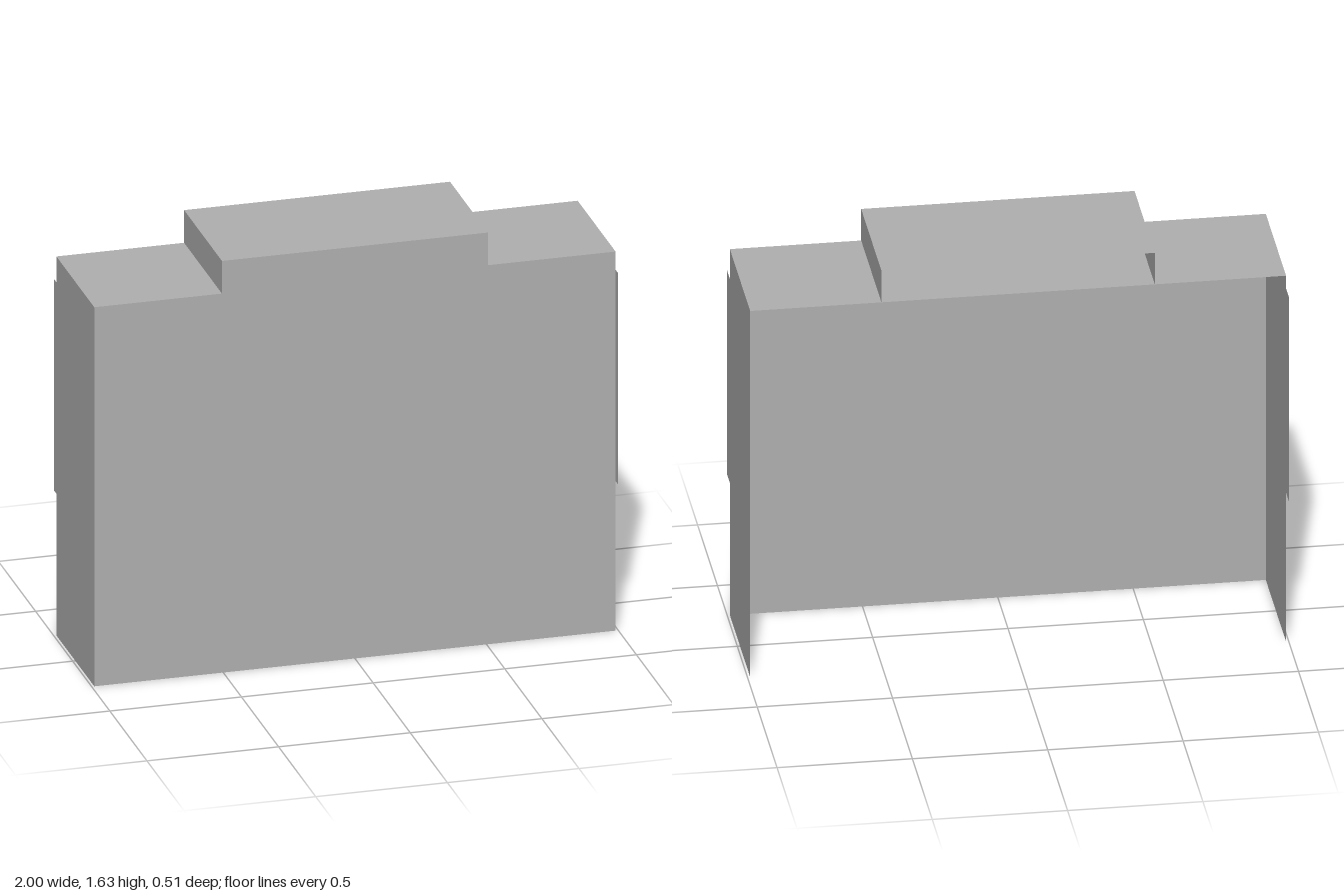
import * as THREE from 'three';

const HALF_W = 0.99, HALF_D = 0.255, ROOF_Y = 1.497;
const CAP_HALF_W = 0.505, CAP_Y = 1.626;

export function createModel() {
  const group = new THREE.Group();
  const grey = new THREE.MeshStandardMaterial({ color: 0xb0b0b0, side: THREE.DoubleSide });
  grey.name = 'plain grey';

  const add = (name, geometry) => {
    const mesh = new THREE.Mesh(geometry, grey);
    mesh.name = name;
    group.add(mesh);
    return mesh;
  };

  // Upright sheet across the depth, facing out to the given side
  const sideSheet = (name, side, x, y0, y1) => {
    const mesh = add(name, new THREE.PlaneGeometry(2 * HALF_D, y1 - y0));
    mesh.rotation.y = side * Math.PI / 2;
    mesh.position.set(side * x, (y0 + y1) / 2, 0);
  };

  // Level sheet facing up
  const levelSheet = (name, halfWidth, y) => {
    const mesh = add(name, new THREE.PlaneGeometry(2 * halfWidth, 2 * HALF_D));
    mesh.rotation.x = -Math.PI / 2;
    mesh.position.y = y;
  };

  // Stepped front wall; the back and the bottom stay open
  const outline = new THREE.Shape([
    [-HALF_W, 0], [HALF_W, 0], [HALF_W, ROOF_Y], [CAP_HALF_W, ROOF_Y],
    [CAP_HALF_W, CAP_Y], [-CAP_HALF_W, CAP_Y], [-CAP_HALF_W, ROOF_Y], [-HALF_W, ROOF_Y],
  ].map(([x, y]) => new THREE.Vector2(x, y)));
  add('frontWall', new THREE.ShapeGeometry(outline)).position.z = HALF_D;

  // Full-width roof and the raised cap above it
  levelSheet('roof', HALF_W, ROOF_Y);
  levelSheet('capTop', CAP_HALF_W, CAP_Y);

  // Side walls, cap sides and the panels standing just off the walls
  for (const [label, side] of [['left', 1], ['right', -1]]) {
    sideSheet(label + 'Wall', side, HALF_W, 0, ROOF_Y);
    sideSheet(label + 'CapSide', side, CAP_HALF_W, ROOF_Y, CAP_Y);
    sideSheet(label + 'SidePanel', side, 1, 0.575, 1.41);
  }
  return group;
}
